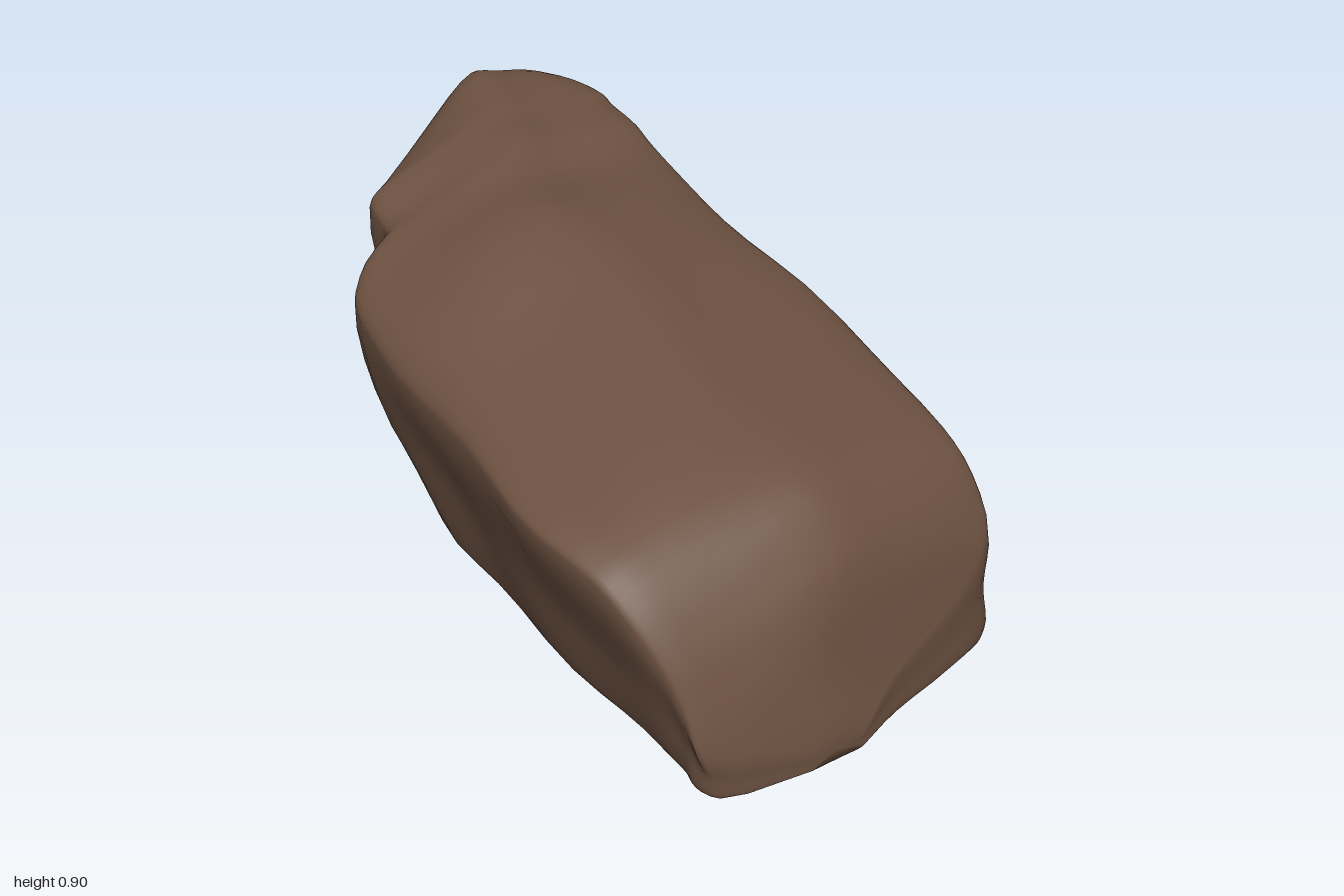
import * as THREE from 'three';

// Slices from front to back:
// z, left x, right x, bottom y, left edge y, crown y, right shoulder y, left x of the base
const SLICES = [
  [1.0, -0.13, 0.03, 0.02, 0.06, 0.1, 0.06, -0.12],
  [0.95, -0.37, 0.17, 0.01, 0.13, 0.26, 0.14, -0.33],
  [0.9, -0.4, 0.4, 0.01, 0.25, 0.4, 0.23, -0.35],
  [0.86, -0.42, 0.51, 0.01, 0.33, 0.47, 0.35, -0.34],
  [0.78, -0.46, 0.52, 0.01, 0.43, 0.56, 0.48, -0.34],
  [0.68, -0.49, 0.52, 0.01, 0.5, 0.61, 0.55, -0.34],
  [0.42, -0.52, 0.52, 0.01, 0.53, 0.68, 0.63, -0.35],
  [0.05, -0.48, 0.51, 0.02, 0.55, 0.77, 0.7, -0.34],
  [-0.23, -0.48, 0.51, 0.02, 0.58, 0.83, 0.75, -0.32],
  [-0.42, -0.45, 0.51, 0.03, 0.62, 0.82, 0.78, -0.24],
  [-0.5, -0.38, 0.51, 0.03, 0.66, 0.84, 0.8, -0.16],
  [-0.56, -0.28, 0.51, 0.03, 0.7, 0.86, 0.82, -0.11],
  [-0.67, -0.26, 0.51, 0.05, 0.73, 0.87, 0.84, -0.02],
  [-0.71, -0.22, 0.51, 0.24, 0.72, 0.88, 0.85, -0.08],
  [-0.8, -0.12, 0.48, 0.28, 0.71, 0.89, 0.86, -0.01],
  [-0.9, 0.0, 0.4, 0.35, 0.7, 0.9, 0.86, 0.08],
  [-0.96, 0.08, 0.34, 0.43, 0.7, 0.86, 0.83, 0.13],
  [-1.0, 0.16, 0.25, 0.67, 0.72, 0.78, 0.76, 0.18],
];
const AROUND = 60, STEPS = 3;
const { lerp, smoothstep } = THREE.MathUtils;

// Closed outline of one slice: flat base, steep right side, undercut left side
function outline([z, xl, xr, yb, yl, yt, yr, xb]) {
  const w = xr - xl, h = yt - yb, under = xb - xl;
  // Towards the back the base narrows and lifts, and the left side bulges over it
  const back = smoothstep(-z, 0.1, 0.6);
  const lift = 0.08 * h * back, cut = 0.06 * w * back;
  const points = [
    [xb, yb + lift], [xb + 0.06 * w, yb + 0.7 * lift], [xb + 0.5 * (xr - xb), yb],
    [xr - 0.05 * w - cut, yb + 0.01 * h], [xr - cut, yb + 0.07 * h],
    [xr - 0.02 * w, yb + 0.5 * (yr - yb)], [xr - 0.025 * w, yr - 0.06 * h],
    [xr - 0.07 * w, yr], [xl + 0.66 * w, yt - 0.3 * (yt - yr)],
    [xl + 0.47 * w, yt], [xl + 0.1 * w, yl + 0.42 * (yt - yl)],
    [xl + 0.03 * w, yl + 0.22 * (yt - yl)], [xl, yl],
    [xl + lerp(0.5, 0.3, back) * under, yb + lerp(0.48, 0.42, back) * (yl - yb)],
    [xb - lerp(0.02 * w, 0.25 * under, back), yb + lift + lerp(0.05, 0.1, back) * h],
  ].map(([x, y]) => new THREE.Vector3(x, y, z));
  const curve = new THREE.CatmullRomCurve3(points, true, 'centripetal');
  return Array.from({ length: AROUND }, (_, j) => curve.getPoint(j / AROUND));
}

// Gentle weathering, fading out towards both ends
function weather(p) {
  const fade = 0.006 * Math.max(0, 1 - p.z * p.z);
  p.x += fade * Math.sin(11 * p.z + 9 * p.y);
  p.y += fade * Math.sin(9 * p.z + 13 * p.x) * Math.min(1, p.y * 4);
  p.y = Math.max(0, p.y);
  return p;
}

function rockGeometry() {
  const slices = SLICES.map(outline);
  const rows = (SLICES.length - 1) * STEPS;
  const columns = slices[0].map((_, j) =>
    new THREE.CatmullRomCurve3(slices.map((s) => s[j]), false, 'centripetal'));
  const position = [], index = [];
  for (let i = 0; i <= rows; i++) {
    for (const column of columns) position.push(...weather(column.getPoint(i / rows)).toArray());
  }
  const at = (i, j) => i * AROUND + (j % AROUND);
  for (let i = 0; i < rows; i++) {
    for (let j = 0; j < AROUND; j++) {
      index.push(at(i, j), at(i + 1, j), at(i, j + 1));
      index.push(at(i, j + 1), at(i + 1, j), at(i + 1, j + 1));
    }
  }
  // Close both ends around a centre point
  for (const row of [0, rows]) {
    const centre = new THREE.Vector3();
    for (let j = 0; j < AROUND; j++) {
      centre.add(new THREE.Vector3().fromArray(position, at(row, j) * 3));
    }
    const c = position.length / 3;
    position.push(...centre.divideScalar(AROUND).toArray());
    for (let j = 0; j < AROUND; j++) {
      if (row === 0) index.push(c, at(row, j), at(row, j + 1));
      else index.push(c, at(row, j + 1), at(row, j));
    }
  }
  const geometry = new THREE.BufferGeometry();
  geometry.setAttribute('position', new THREE.Float32BufferAttribute(position, 3));
  geometry.setIndex(index);
  geometry.computeVertexNormals();
  return geometry;
}

export function createModel() {
  const stone = new THREE.MeshStandardMaterial({ color: 0x6b5040 });
  stone.name = 'brown stone';
  const boulder = new THREE.Mesh(rockGeometry(), stone);
  boulder.name = 'boulder';
  const group = new THREE.Group();
  group.name = 'rock';
  group.add(boulder);
  return group;
}
